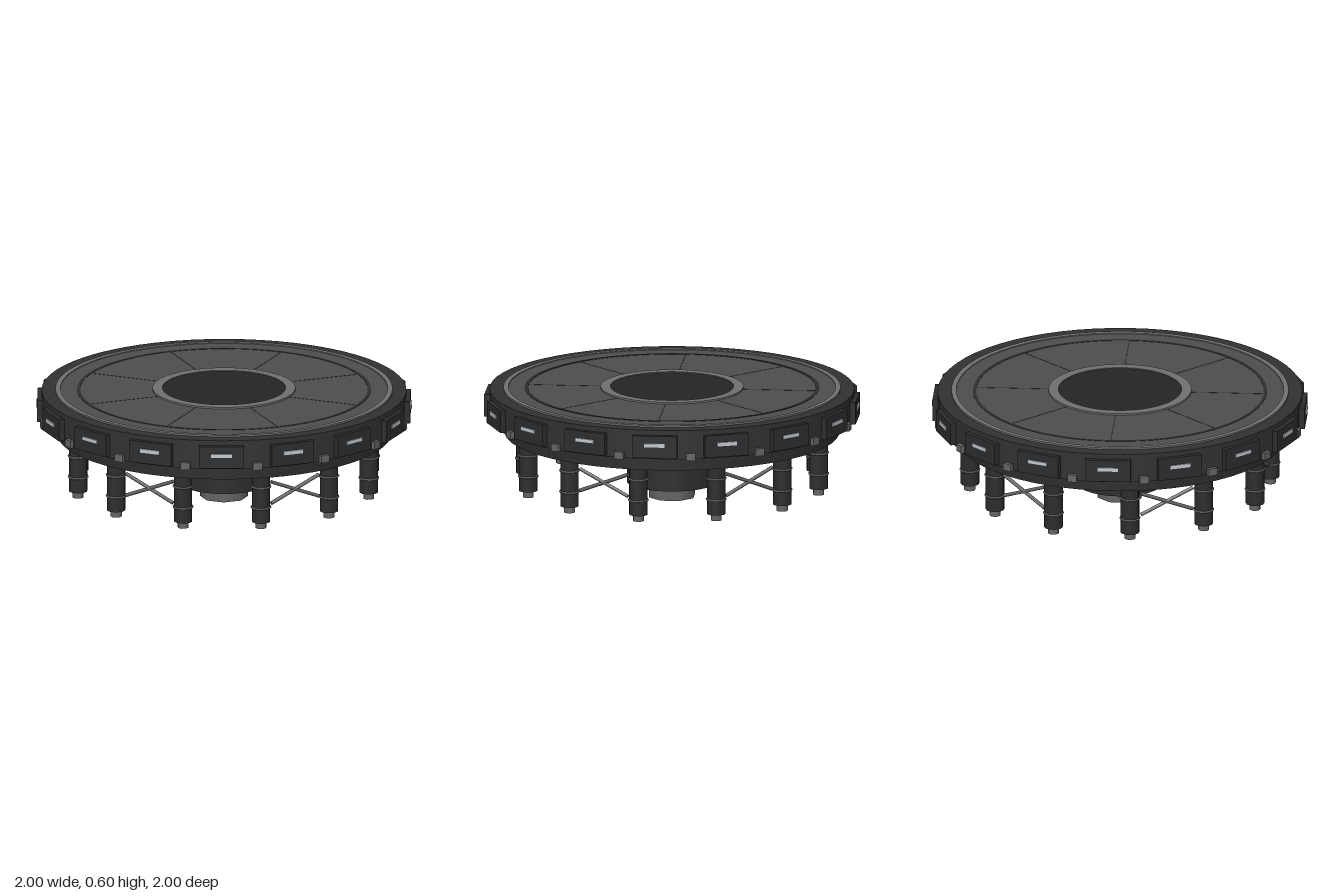
import * as THREE from 'three';

const mat = (color, extra = {}) => new THREE.MeshStandardMaterial({ color, ...extra });
const M = {
  rim: mat(0x303234), dark: mat(0x242527), body: mat(0x2c2d2f), deck: mat(0x4d4e50),
  trim: mat(0x707070), metal: mat(0x666666), light: mat(0xc4c8cc), line: mat(0x303133),
};

function add(parent, name, geo, material, x = 0, y = 0, z = 0) {
  const mesh = new THREE.Mesh(geo, material);
  mesh.name = name;
  mesh.position.set(x, y, z);
  parent.add(mesh);
  return mesh;
}

// Upright cylinder between two heights
function drum(parent, name, r, y0, y1, material, sides = 64, x = 0, z = 0) {
  return add(parent, name, new THREE.CylinderGeometry(r, r, y1 - y0, sides), material, x, (y0 + y1) / 2, z);
}

// Flat-sided ring with a rectangular section
function band(parent, name, r0, r1, y0, y1, material) {
  const pts = [[r0, y0], [r1, y0], [r1, y1], [r0, y1], [r0, y0]];
  const geo = new THREE.LatheGeometry(pts.map(p => new THREE.Vector2(...p)), 64).toNonIndexed();
  geo.computeVertexNormals();
  return add(parent, name, geo, material);
}

// Rod between two points
function rod(parent, name, a, b, r, material) {
  const dir = b.clone().sub(a);
  const mesh = add(parent, name, new THREE.CylinderGeometry(r, r, dir.length(), 8), material);
  mesh.position.copy(a).add(b).multiplyScalar(0.5);
  mesh.quaternion.setFromUnitVectors(new THREE.Vector3(0, 1, 0), dir.normalize());
}

// Group turned about y so that its local +z points outward
function spoke(parent, name, angle) {
  const g = new THREE.Group();
  g.name = name;
  g.rotation.y = angle;
  parent.add(g);
  return g;
}

export function createModel() {
  const model = new THREE.Group();
  model.name = 'roundPlatform';

  // Platform body
  drum(model, 'rim', 0.97, 0.43, 0.587, M.rim);
  drum(model, 'underskirt', 0.89, 0.35, 0.43, M.body);

  // Deck, trim rings and centre plate
  drum(model, 'deck', 0.875, 0.58, 0.591, M.deck);
  band(model, 'outerTrim', 0.87, 0.897, 0.58, 0.596, M.trim);
  band(model, 'deckGroove', 0.765, 0.782, 0.588, 0.593, M.line);
  band(model, 'innerTrim', 0.328, 0.38, 0.58, 0.6, M.trim);
  drum(model, 'centrePlate', 0.33, 0.58, 0.596, M.dark);

  // Radial deck seams
  for (let i = 0; i < 8; i++) {
    const g = spoke(model, 'deckSeam', (i + 0.5) * Math.PI / 4);
    add(g, 'seam', new THREE.BoxGeometry(0.006, 0.004, 0.39), M.line, 0, 0.59, 0.573);
  }

  // Lit panels around the rim, with small clamps between them
  for (let i = 0; i < 16; i++) {
    const a = i * Math.PI / 8;
    const panel = spoke(model, 'rimPanel', a);
    add(panel, 'plate', new THREE.BoxGeometry(0.24, 0.12, 0.03), M.body, 0, 0.5, 0.977);
    add(panel, 'lightStrip', new THREE.BoxGeometry(0.11, 0.02, 0.012), M.light, 0, 0.51, 0.993);
    const clamp = spoke(model, 'rimClamp', a + Math.PI / 16);
    add(clamp, 'clampBlock', new THREE.BoxGeometry(0.05, 0.04, 0.05), M.metal, 0, 0.445, 0.965);
  }

  // Central hub and its base
  drum(model, 'hub', 0.24, 0.08, 0.35, M.body, 32);
  drum(model, 'hubBase', 0.127, 0, 0.08, M.metal, 8);

  // Support legs with collars and feet
  const legAt = (i, y) => new THREE.Vector3(
    0.8 * Math.sin(i * Math.PI / 6), y, 0.8 * Math.cos(i * Math.PI / 6));
  for (let i = 0; i < 12; i++) {
    const leg = spoke(model, 'supportLeg', i * Math.PI / 6);
    drum(leg, 'post', 0.05, 0.085, 0.355, M.body, 12, 0, 0.8);
    drum(leg, 'foot', 0.03, 0.05, 0.09, M.metal, 8, 0, 0.8);
    for (const y of [0.165, 0.28]) {
      const collar = add(leg, 'collar', new THREE.TorusGeometry(0.05, 0.006, 6, 16), M.metal, 0, y, 0.8);
      collar.rotation.x = Math.PI / 2;
    }
  }

  // Crossed braces between every second pair of legs
  for (let i = -1; i < 11; i += 2) {
    for (const [ya, yb] of [[0.15, 0.32], [0.32, 0.15]]) {
      const a = legAt(i, ya), b = legAt(i + 1, yb);
      rod(model, 'crossBrace', a.clone().lerp(b, 0.15), b.clone().lerp(a, 0.15), 0.01, M.metal);
    }
  }
  return model;
}
